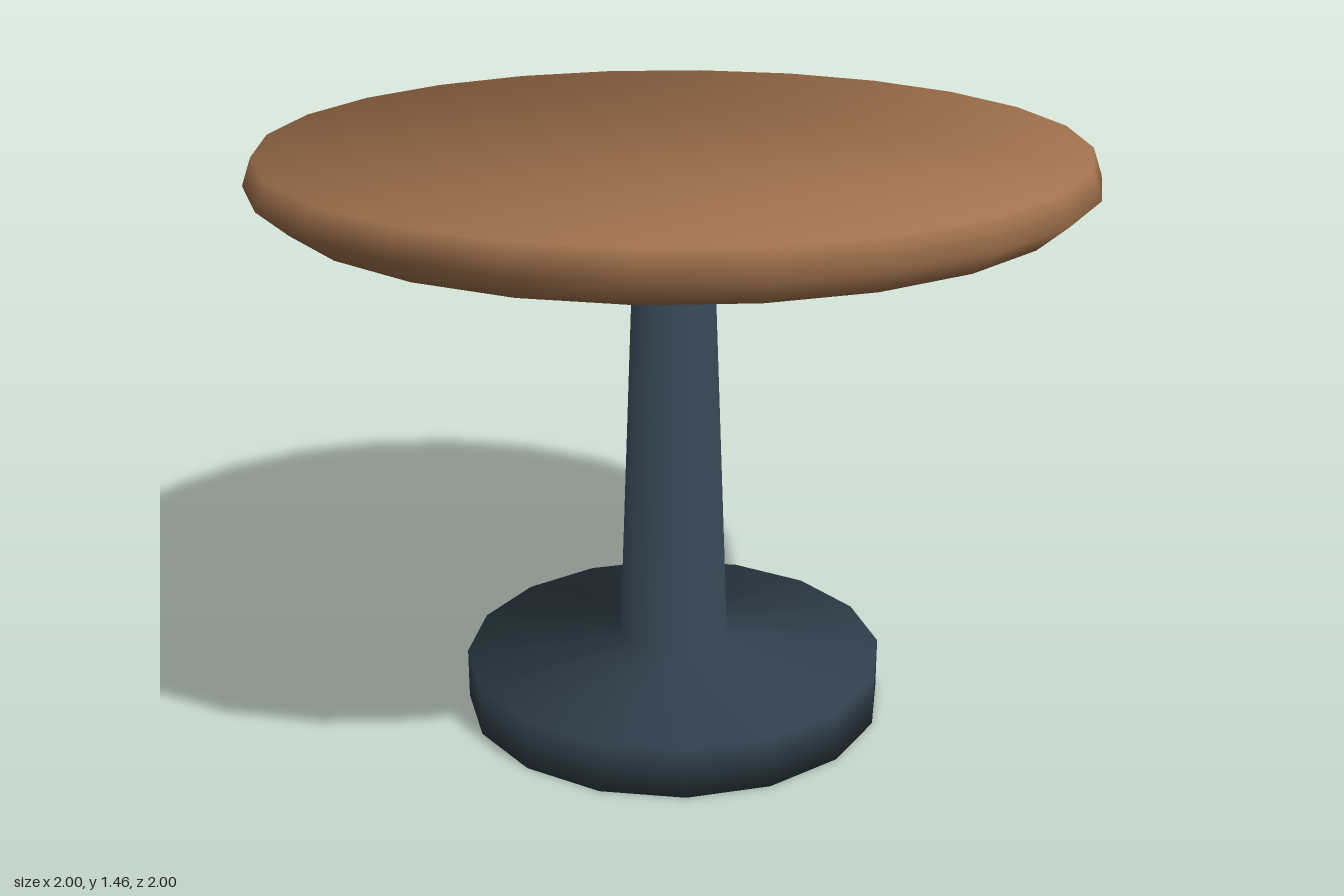
import * as THREE from 'three';

// Closed turned solid: profile of [radius, y] from bottom to top, flat n-gon ends,
// with soft normals shared across every edge (weighted by corner angle).
function turned(profile, sides) {
  const last = profile.length - 1;
  const capWeight = 1 - 2 / sides;
  const bands = profile.slice(1).map(([r, y], j) => {
    const dr = r - profile[j][0], dy = y - profile[j][1];
    return new THREE.Vector2(dy, -dr).normalize();
  });
  const pos = [], nor = [], idx = [];
  profile.forEach(([r, y], j) => {
    const n = new THREE.Vector2();
    if (j > 0) n.add(bands[j - 1]);
    if (j < last) n.add(bands[j]);
    if (j === 0) n.y -= capWeight;
    if (j === last) n.y += capWeight;
    n.normalize();
    for (let i = 0; i < sides; i++) {
      const a = (i / sides) * Math.PI * 2, c = Math.cos(a), s = Math.sin(a);
      pos.push(r * c, y, r * s);
      nor.push(n.x * c, n.y, n.x * s);
    }
  });
  // Side bands
  for (let j = 0; j < last; j++) {
    for (let i = 0; i < sides; i++) {
      const k = (i + 1) % sides;
      const a = j * sides + i, b = j * sides + k;
      idx.push(a, a + sides, b, b, a + sides, b + sides);
    }
  }
  // Flat ends
  const top = last * sides;
  for (let i = 1; i < sides - 1; i++) {
    idx.push(0, i, i + 1, top, top + i + 1, top + i);
  }
  const g = new THREE.BufferGeometry();
  g.setAttribute('position', new THREE.Float32BufferAttribute(pos, 3));
  g.setAttribute('normal', new THREE.Float32BufferAttribute(nor, 3));
  g.setIndex(idx);
  return g;
}

export function createModel() {
  const wood = new THREE.MeshStandardMaterial({ color: 0xa0714c });
  wood.name = 'wood';
  const metal = new THREE.MeshStandardMaterial({ color: 0x2f3f4a });
  metal.name = 'dark metal';

  const model = new THREE.Group();
  model.name = 'pedestalTable';
  const add = (name, geometry, material) => {
    const mesh = new THREE.Mesh(geometry, material);
    mesh.name = name;
    model.add(mesh);
  };

  // Weighted foot flowing into a tapered column
  add('pedestal', turned([[0.533, 0], [0.533, 0.13], [0.138, 0.175], [0.093, 1.335]], 16), metal);

  // Round top with a bevelled rim
  add('tableTop', turned([[0.93, 1.33], [1, 1.39], [0.977, 1.455]], 24), wood);

  return model;
}
